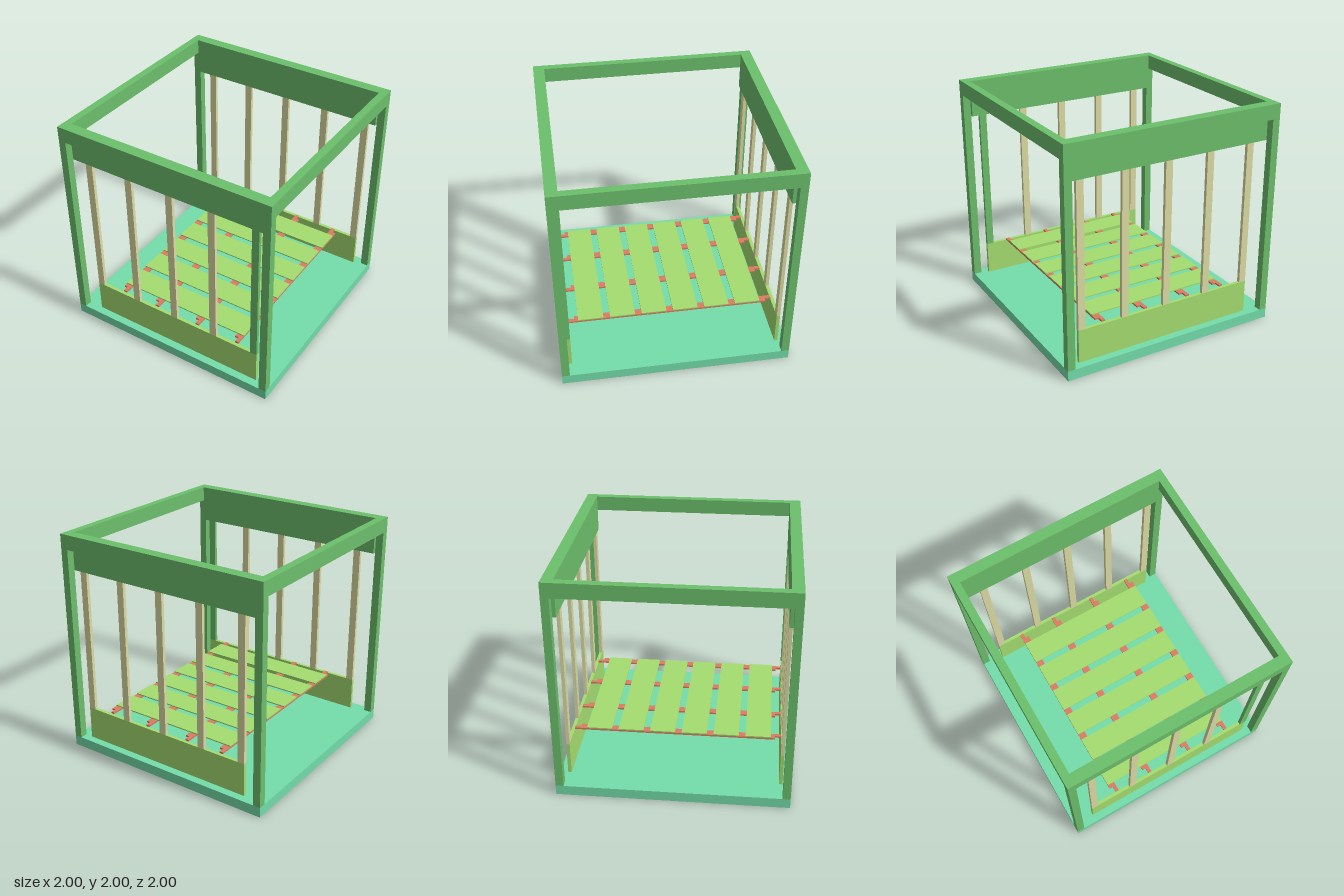
import * as THREE from 'three';

const material = (color) => new THREE.MeshStandardMaterial({ color });

export function createModel() {
  const model = new THREE.Group();
  const teal = material(0x74ddaa);
  const green = material(0x6cbf6c);
  const lime = material(0xa4dd70);
  const tan = material(0xdddca4);
  const red = material(0xdd7c62);

  // Box given by its extents along each axis
  function box(name, mat, [x0, x1], [y0, y1], [z0, z1]) {
    const mesh = new THREE.Mesh(new THREE.BoxGeometry(x1 - x0, y1 - y0, z1 - z0), mat);
    mesh.position.set((x0 + x1) / 2, (y0 + y1) / 2, (z0 + z1) / 2);
    mesh.name = name;
    model.add(mesh);
  }
  // Extent mirrored to the side given by s
  const side = (s, a, b) => (s > 0 ? [a, b] : [-b, -a]);

  box('base', teal, [-1, 1], [0, 0.09], [-1, 1]);

  // Corner posts and side beams
  for (const sx of [-1, 1]) {
    for (const sz of [-1, 1]) {
      box('cornerPost', green, side(sx, 0.932, 1), [0.09, 1.87], side(sz, 0.932, 1));
    }
    box('sideBeam', green, side(sx, 0.932, 1), [1.87, 2], [-0.902, 0.902]);
  }

  // Front and back walls: beam, upper panel, lower board and uprights
  for (const sz of [-1, 1]) {
    const wall = side(sz, 0.902, 0.932);
    box('endBeam', green, [-1, 1], [1.87, 2], side(sz, 0.902, 1));
    box('upperPanel', green, [-0.932, 0.932], [1.675, 1.87], wall);
    box('lowerBoard', lime, [-0.8, 0.864], [0.09, 0.388], wall);
    for (let i = 0; i < 5; i++) {
      const x = -0.8 + 0.4 * i;
      const isFrontEnd = sz > 0 && i === 4;
      box('upright', isFrontEnd ? green : tan, [x, x + 0.064], [0.388, 1.675], wall);
    }
  }

  // Bed rails, each a pair of strips offset lengthwise
  for (const x of [-0.57, -0.22, 0.203, 0.604]) {
    box('railStrip', red, [x, x + 0.033], [0.388, 0.403], [-0.902, 0.85]);
    box('railStrip', red, [x + 0.033, x + 0.066], [0.388, 0.403], [-0.85, 0.902]);
  }

  // Bed slats across the rails
  for (let i = 0; i < 6; i++) {
    const z = -0.793 + 0.278 * i;
    box('bedSlat', lime, [-0.57, 0.67], [0.403, 0.413], [z, z + 0.22]);
  }

  return model;
}
